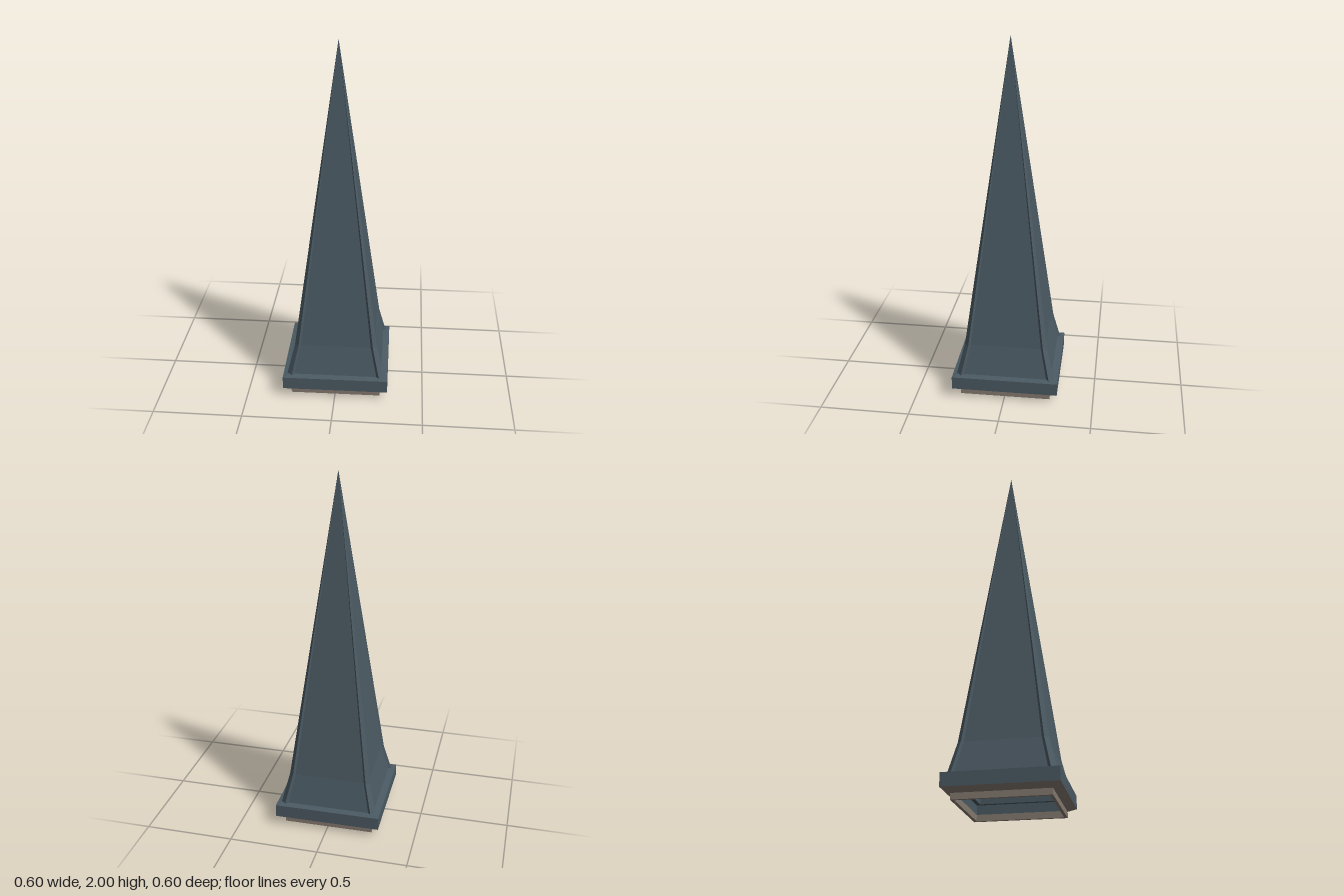
import * as THREE from 'three';

const slate = new THREE.MeshStandardMaterial({ color: 0x4b5a63 });
slate.name = 'slate';
const stone = new THREE.MeshStandardMaterial({ color: 0x857a70 });
stone.name = 'stone';

// Flat-faced mesh with a plain name
function flatMesh(name, geometry, material) {
  const g = geometry.index ? geometry.toNonIndexed() : geometry;
  g.computeVertexNormals();
  const mesh = new THREE.Mesh(g, material);
  mesh.name = name;
  return mesh;
}

// Square ring swept from a [half width, y] profile
function squareRing(name, profile, material) {
  const points = profile.map(([h, y]) => new THREE.Vector2(h * Math.SQRT2, y));
  return flatMesh(name, new THREE.LatheGeometry(points, 4, Math.PI / 4), material);
}

// Hip rib: one rectangular section along +x, scaled towards the apex
function ribGeometry() {
  const outer = 0.262 * Math.SQRT2, inner = outer - 0.06, w = 0.0185;
  const section = [[inner, w], [outer, w], [outer, -w], [inner, -w]];
  const levels = [[0.128, 1], [0.3, 0.846], [1.998, 0.001]];
  const positions = [];
  for (const [y, k] of levels) {
    for (const [x, z] of section) positions.push(x * k, y, z * k);
  }
  const index = [0, 2, 1, 0, 3, 2]; // bottom cap
  for (let i = 0; i < levels.length - 1; i++) {
    for (let j = 0; j < 4; j++) {
      const a = i * 4 + j, b = i * 4 + (j + 1) % 4;
      index.push(a, b, b + 4, a, b + 4, a + 4);
    }
  }
  const g = new THREE.BufferGeometry();
  g.setAttribute('position', new THREE.Float32BufferAttribute(positions, 3));
  g.setIndex(index);
  return g;
}

export function createModel() {
  const model = new THREE.Group();
  model.name = 'spire';

  // Hollow flared roof with an inner skin
  model.add(squareRing('roof', [
    [0.26, 0.128], [0.22, 0.3], [0, 2],
    [0, 1.9], [0.208, 0.3], [0.248, 0.128], [0.26, 0.128],
  ], slate));

  // Ribs over the four hips
  for (let i = 0; i < 4; i++) {
    const rib = flatMesh('hipRib', ribGeometry(), slate);
    rib.rotation.y = Math.PI / 4 + i * Math.PI / 2;
    model.add(rib);
  }

  // Cornice with an inner ledge
  model.add(squareRing('cornice', [
    [0.297, 0.055], [0.297, 0.127], [0.255, 0.132], [0.212, 0.13],
    [0.212, 0.085], [0.236, 0.085], [0.236, 0.035],
  ], slate));

  // Stone footing and the sloped moulding under the cornice
  model.add(squareRing('footing', [
    [0.236, 0.035], [0.236, 0], [0.253, 0], [0.253, 0.033], [0.297, 0.055],
  ], stone));

  model.rotation.y = 0.0084;
  const group = new THREE.Group();
  group.add(model);
  return group;
}
